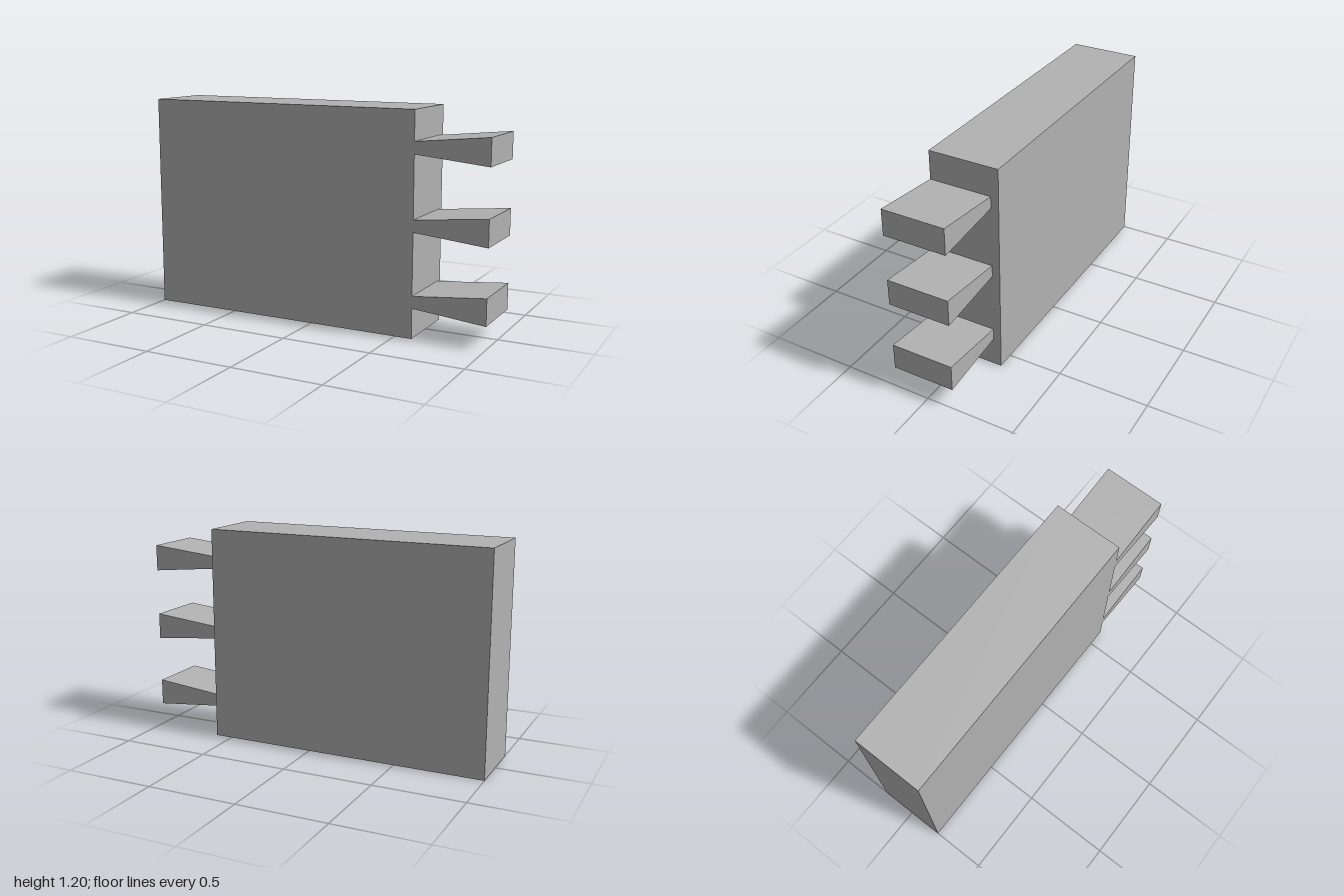
import * as THREE from 'three';

const X0 = -1, X1 = 0.597, TIP = 1;      // board ends and tail tips
const HEIGHT = 1.197, HALF_DEPTH = 0.197;
const TAIL_BACK = -0.153;                // tails stop short of the back face

export function createModel() {
  const group = new THREE.Group();
  const grey = new THREE.MeshStandardMaterial({ color: 0xb2b2b2 });
  grey.name = 'plain grey';

  // Main board
  const board = new THREE.Mesh(
    new THREE.BoxGeometry(X1 - X0, HEIGHT, HALF_DEPTH * 2), grey);
  board.name = 'board';
  board.position.set((X0 + X1) / 2, HEIGHT / 2, 0);
  group.add(board);

  // Dovetail: widens from the board to the tip, flush with the front face
  const profile = new THREE.Shape([
    new THREE.Vector2(X1, -0.033),
    new THREE.Vector2(TIP, -0.073),
    new THREE.Vector2(TIP, 0.073),
    new THREE.Vector2(X1, 0.033),
  ]);
  const tailGeometry = new THREE.ExtrudeGeometry(profile, {
    depth: HALF_DEPTH - TAIL_BACK, bevelEnabled: false,
  });

  [0.197, 0.6, 1.003].forEach((y, i) => {
    const tail = new THREE.Mesh(tailGeometry, grey);
    tail.name = `dovetail${i + 1}`;
    tail.position.set(0, y, TAIL_BACK);
    group.add(tail);
  });

  return group;
}
